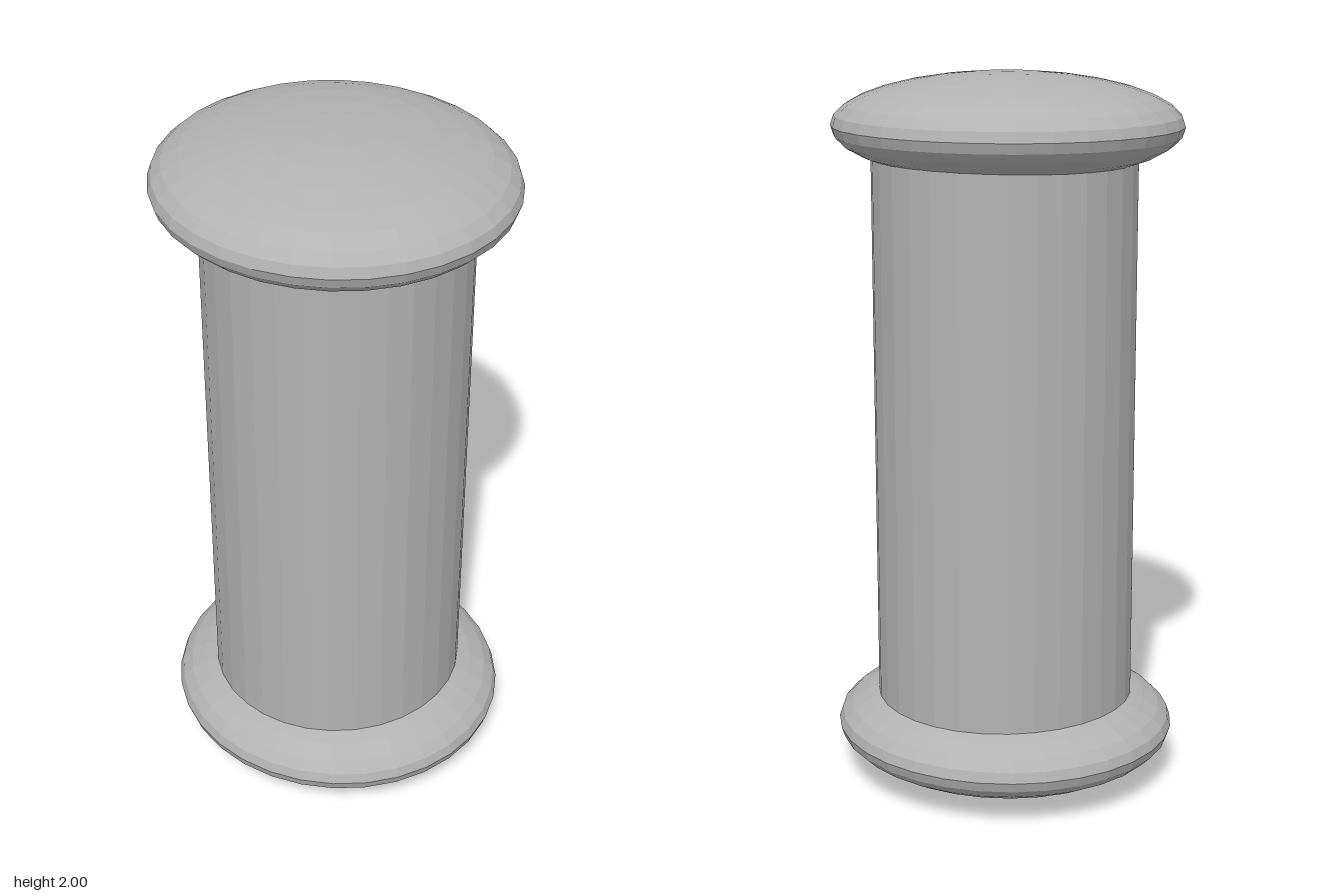
import * as THREE from 'three';

export function createModel() {
  const group = new THREE.Group();
  const grey = new THREE.MeshStandardMaterial({ color: 0xb2b2b2, flatShading: true });
  grey.name = 'plain grey';

  const SIDES = 32;

  // straight faceted shaft, its ends buried inside the caps
  const shaft = new THREE.Mesh(new THREE.CylinderGeometry(0.365, 0.365, 1.72, SIDES), grey);
  shaft.name = 'shaft';
  shaft.position.set(-0.002, 1, -0.005);
  group.add(shaft);

  // flattened, slightly oval cushion caps
  function addCap(name, y, z) {
    const geometry = new THREE.SphereGeometry(1, SIDES, 16);
    geometry.scale(0.492, 0.143, 0.476);
    const cap = new THREE.Mesh(geometry, grey);
    cap.name = name;
    cap.position.set(0, y, z);
    group.add(cap);
  }
  addCap('topCap', 1.857, 0.005);
  addCap('bottomCap', 0.146, -0.005);

  return group;
}
